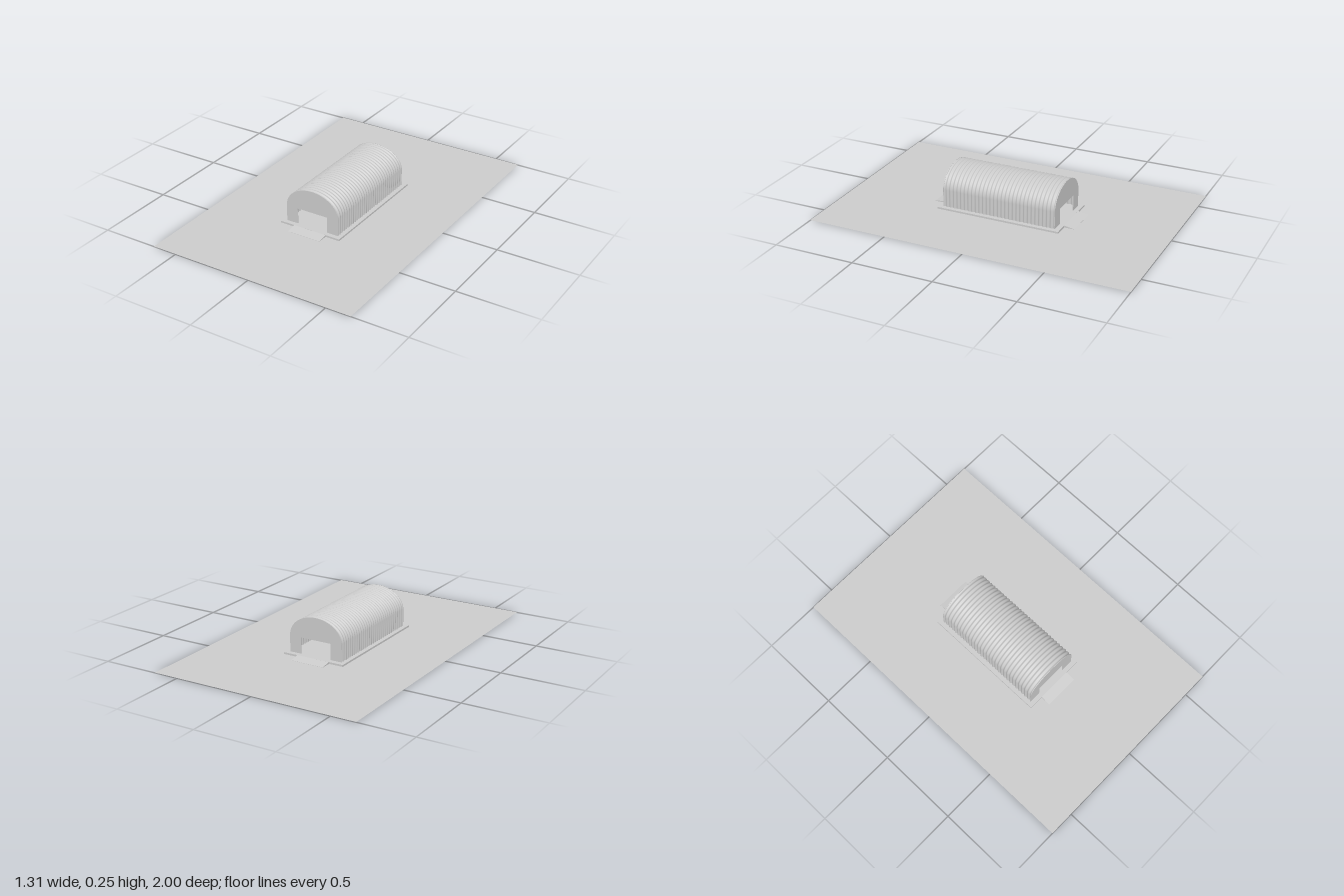
import * as THREE from 'three';

const HALF_W = 0.175, SPRING = 0.12, RISE = 0.13, BASE = 0.014;
const Z_BACK = -0.355, Z_FRONT = 0.37;

// Arch section from the left foot over the crown to the right foot
function archPoints(segments = 32) {
  const pts = [new THREE.Vector2(HALF_W, BASE)];
  for (let i = 0; i <= segments; i++) {
    const a = (i / segments) * Math.PI;
    pts.push(new THREE.Vector2(Math.cos(a) * HALF_W, SPRING + Math.sin(a) * RISE));
  }
  pts.push(new THREE.Vector2(-HALF_W, BASE));
  return pts;
}

// Corrugated vault: the arch swept along z, with its radius rippling
function corrugatedShell(material) {
  const pts = archPoints(), ribs = 30, perRib = 8, rows = ribs * perRib;
  const pos = [], index = [], n = pts.length;
  for (let r = 0; r <= rows; r++) {
    const z = THREE.MathUtils.lerp(Z_BACK, Z_FRONT, r / rows);
    const dip = 0.003 * (1 - Math.cos((r / perRib) * Math.PI * 2));
    pts.forEach((p) => {
      const rise = Math.max(p.y - SPRING, 0);
      const out = new THREE.Vector2(p.x / HALF_W, rise / RISE).normalize();
      pos.push(p.x - out.x * dip, p.y - out.y * dip, z);
    });
  }
  for (let r = 0; r < rows; r++) {
    for (let i = 0; i < n - 1; i++) {
      const a = r * n + i, b = a + 1, c = a + n, d = c + 1;
      index.push(a, b, c, b, d, c);
    }
  }
  const g = new THREE.BufferGeometry();
  g.setAttribute('position', new THREE.Float32BufferAttribute(pos, 3));
  g.setIndex(index);
  g.computeVertexNormals();
  const mesh = new THREE.Mesh(g, material);
  mesh.name = 'corrugatedRoof';
  return mesh;
}

// Flat end wall with a doorway cut up from the floor
function endWall(name, z, material) {
  const shape = new THREE.Shape([
    ...archPoints(),
    new THREE.Vector2(-0.1, BASE), new THREE.Vector2(-0.1, 0.113),
    new THREE.Vector2(0.1, 0.113), new THREE.Vector2(0.1, BASE),
  ]);
  const g = new THREE.ExtrudeGeometry(shape, { depth: 0.004, bevelEnabled: false });
  const mesh = new THREE.Mesh(g, material);
  mesh.name = name;
  mesh.position.z = z;
  return mesh;
}

// Wedge ramp sloping from the slab down to the ground
function ramp(name, zSlab, direction, material) {
  const shape = new THREE.Shape([
    new THREE.Vector2(0, 0), new THREE.Vector2(0.065, 0),
    new THREE.Vector2(0.065, 0.003), new THREE.Vector2(0, BASE),
  ]);
  const g = new THREE.ExtrudeGeometry(shape, { depth: 0.215, bevelEnabled: false });
  g.translate(0, 0, -0.1075);
  const mesh = new THREE.Mesh(g, material);
  mesh.name = name;
  mesh.rotation.y = -direction * Math.PI / 2;
  mesh.position.set(0, 0, zSlab);
  return mesh;
}

export function createModel() {
  const group = new THREE.Group();
  group.name = 'archedHangar';
  const grey = new THREE.MeshStandardMaterial({ color: 0xcccccc });
  const thin = new THREE.MeshStandardMaterial({ color: 0xcccccc, side: THREE.DoubleSide });

  // Ground sheet
  const ground = new THREE.Mesh(new THREE.PlaneGeometry(1.31, 2), thin);
  ground.name = 'ground';
  ground.rotation.x = -Math.PI / 2;
  ground.position.y = 0.002;

  // Foundation slab
  const slab = new THREE.Mesh(new THREE.BoxGeometry(0.4, 0.011, 0.784), grey);
  slab.name = 'foundationSlab';
  slab.position.set(0, BASE - 0.0055, 0.006);

  group.add(
    ground, slab,
    corrugatedShell(thin),
    endWall('frontWall', Z_FRONT - 0.004, grey),
    endWall('backWall', Z_BACK, grey),
    ramp('frontRamp', 0.395, 1, grey),
    ramp('backRamp', -0.385, -1, grey),
  );
  return group;
}
